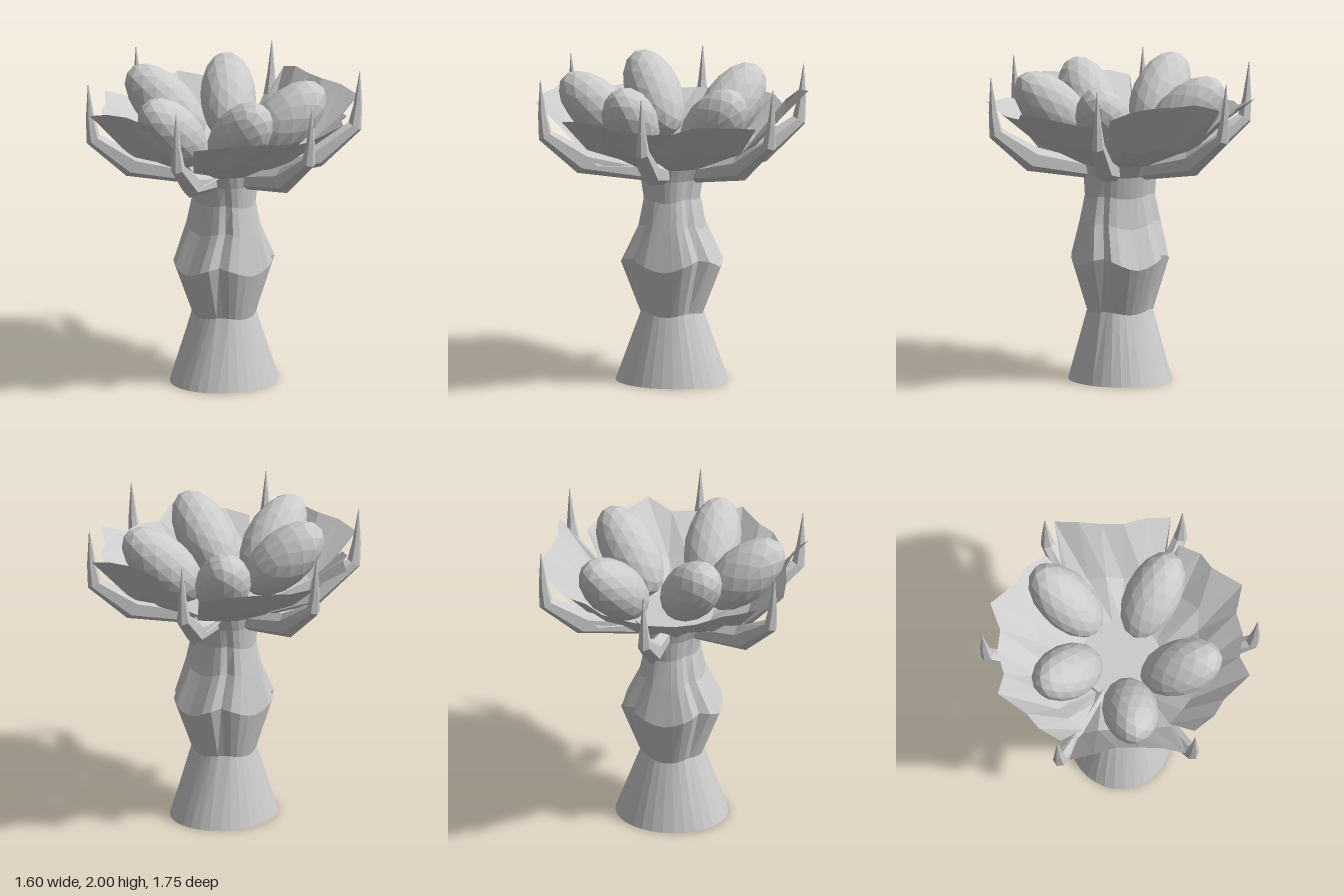
import * as THREE from 'three';

const solid = new THREE.MeshStandardMaterial({ color: 0xcccccc, flatShading: true });
const sheet = new THREE.MeshStandardMaterial({ color: 0xcccccc, flatShading: true, side: THREE.DoubleSide });

// Joins rows of points into a surface; closed rows wrap round and get end caps.
function loft(rows, closed) {
  const n = rows[0].length;
  const pos = rows.flat(2);
  const index = [];
  const cols = closed ? n : n - 1;
  for (let r = 0; r < rows.length - 1; r++) {
    for (let i = 0; i < cols; i++) {
      const a = r * n + i, b = r * n + (i + 1) % n;
      index.push(a, a + n, b, b, a + n, b + n);
    }
  }
  if (closed) {
    const top = (rows.length - 1) * n;
    for (let i = 1; i < n - 1; i++) {
      index.push(0, i, i + 1, top, top + i + 1, top + i);
    }
  }
  const g = new THREE.BufferGeometry();
  g.setAttribute('position', new THREE.Float32BufferAttribute(pos, 3));
  g.setIndex(index);
  g.computeVertexNormals();
  return g;
}

function add(group, name, geometry, material) {
  const mesh = new THREE.Mesh(geometry, material);
  mesh.name = name;
  group.add(mesh);
  return mesh;
}

// Waisted stem: y, half width, half depth, height wobble, groove depth
function trunkGeometry() {
  const profile = [
    [0, 0.355, 0.32, 0, 0],
    [0.44, 0.195, 0.205, 0.01, 0.006],
    [0.765, 0.31, 0.285, 0.035, 0.04],
    [0.99, 0.2, 0.25, 0.02, 0.025],
    [1.17, 0.17, 0.22, 0.01, 0.012],
    [1.3, 0.195, 0.23, 0, 0.005],
    [1.4, 0.26, 0.25, 0, 0],
  ];
  const sides = 32;
  return loft(profile.map(([y, w, d, wobble, groove]) =>
    Array.from({ length: sides }, (_, i) => {
      const a = i / sides * Math.PI * 2;
      const diagonal = (1 - Math.cos(4 * a)) / 2;
      // Swells towards the diagonals, with a narrow crease along each
      const k = 1 + groove / w * (0.9 * diagonal - 1.4 * diagonal ** 10);
      return [w * k * Math.cos(a), y - wobble * Math.cos(4 * a), d * k * Math.sin(a)];
    })), true);
}

// Hooked claw pointing along +x: centre, direction angle, half height, half width
function clawGeometry() {
  const path = [
    [0.19, 1.335, 0.1, 0.055, 0.04],
    [0.585, 1.425, 0.45, 0.08, 0.058],
    [0.83, 1.605, 1.0, 0.048, 0.044],
    [0.848, 1.74, 1.5, 0.028, 0.026],
    [0.862, 1.96, 1.57, 0.002, 0.002],
  ];
  return loft(path.map(([r, y, t, h, w]) =>
    Array.from({ length: 6 }, (_, i) => {
      const a = i / 6 * Math.PI * 2;
      const u = h * Math.cos(a);
      return [r + u * Math.sin(t), y - u * Math.cos(t), w * Math.sin(a)];
    })), true);
}

// Crumpled petal, widened and sagging halfway from the collar to a ragged rim
function petalGeometry(rim, facing, spread, sag, sx, sz) {
  const last = rim.length - 1;
  const acrossX = 1 + 0.14 * Math.sin(facing), acrossZ = 1 + 0.14 * Math.cos(facing);
  const rows = [0, 0.5, 1].map((t, row) => rim.map(([x, y, z], i) => {
    const a = facing + spread * (i / last * 2 - 1);
    const middle = row === 1;
    const fold = middle ? (i % 2 ? 0.02 : -0.02) - sag : 0;
    return [
      sx * THREE.MathUtils.lerp(0.26 * Math.cos(a), x, t) * (middle ? acrossX : 1),
      THREE.MathUtils.lerp(1.38, y, t) + fold,
      sz * THREE.MathUtils.lerp(0.26 * Math.sin(a), z, t) * (middle ? acrossZ : 1),
    ];
  }));
  return loft(rows, false);
}

export function createModel() {
  const model = new THREE.Group();
  add(model, 'trunk', trunkGeometry(), solid);

  // Broad petals at front and back
  const broadRim = [
    [0.62, 1.7, 0.42], [0.54, 1.73, 0.55], [0.44, 1.74, 0.61], [0.3, 1.77, 0.79],
    [0.14, 1.71, 0.74], [0, 1.71, 0.77], [-0.15, 1.7, 0.74], [-0.3, 1.76, 0.79],
    [-0.44, 1.74, 0.62], [-0.54, 1.73, 0.55], [-0.62, 1.7, 0.42],
  ];
  // Steeper petals at the sides
  const sideRim = [
    [0.64, 1.64, -0.33], [0.8, 1.8, -0.35], [0.77, 1.84, -0.2], [0.75, 1.83, -0.06],
    [0.74, 1.83, 0.08], [0.77, 1.82, 0.23], [0.78, 1.78, 0.38], [0.64, 1.64, 0.34],
  ];
  for (const s of [1, -1]) {
    add(model, s > 0 ? 'frontPetal' : 'backPetal',
      petalGeometry(broadRim, Math.PI / 2, 1.1, 0.025, 1, s), sheet);
    add(model, s > 0 ? 'leftPetal' : 'rightPetal',
      petalGeometry(sideRim, 0, 0.75, 0.09, s, s), sheet);
  }

  // Six claws around the collar
  const claw = clawGeometry();
  for (let i = 0; i < 6; i++) {
    add(model, 'claw', claw, solid).rotation.y = Math.PI / 6 + i * Math.PI / 3 - 0.025;
  }

  // Eggs leaning outward: centre, then horizontal lean direction
  const egg = new THREE.IcosahedronGeometry(1, 2).scale(0.175, 0.315, 0.175);
  const eggs = [
    [-0.185, 1.75, -0.345, -0.62, -0.78],
    [0.31, 1.7, -0.315, 0.6, -0.8],
    [-0.455, 1.7, 0.03, -1, 0.08],
    [-0.19, 1.7, 0.37, -0.08, 1],
    [0.31, 1.68, 0.23, 0.78, 0.62],
  ];
  for (const [x, y, z, dx, dz] of eggs) {
    const mesh = add(model, 'egg', egg, solid);
    mesh.position.set(x, y, z);
    mesh.quaternion.setFromUnitVectors(new THREE.Vector3(0, 1, 0),
      new THREE.Vector3(dx, 0.95, dz).normalize());
  }
  return model;
}
